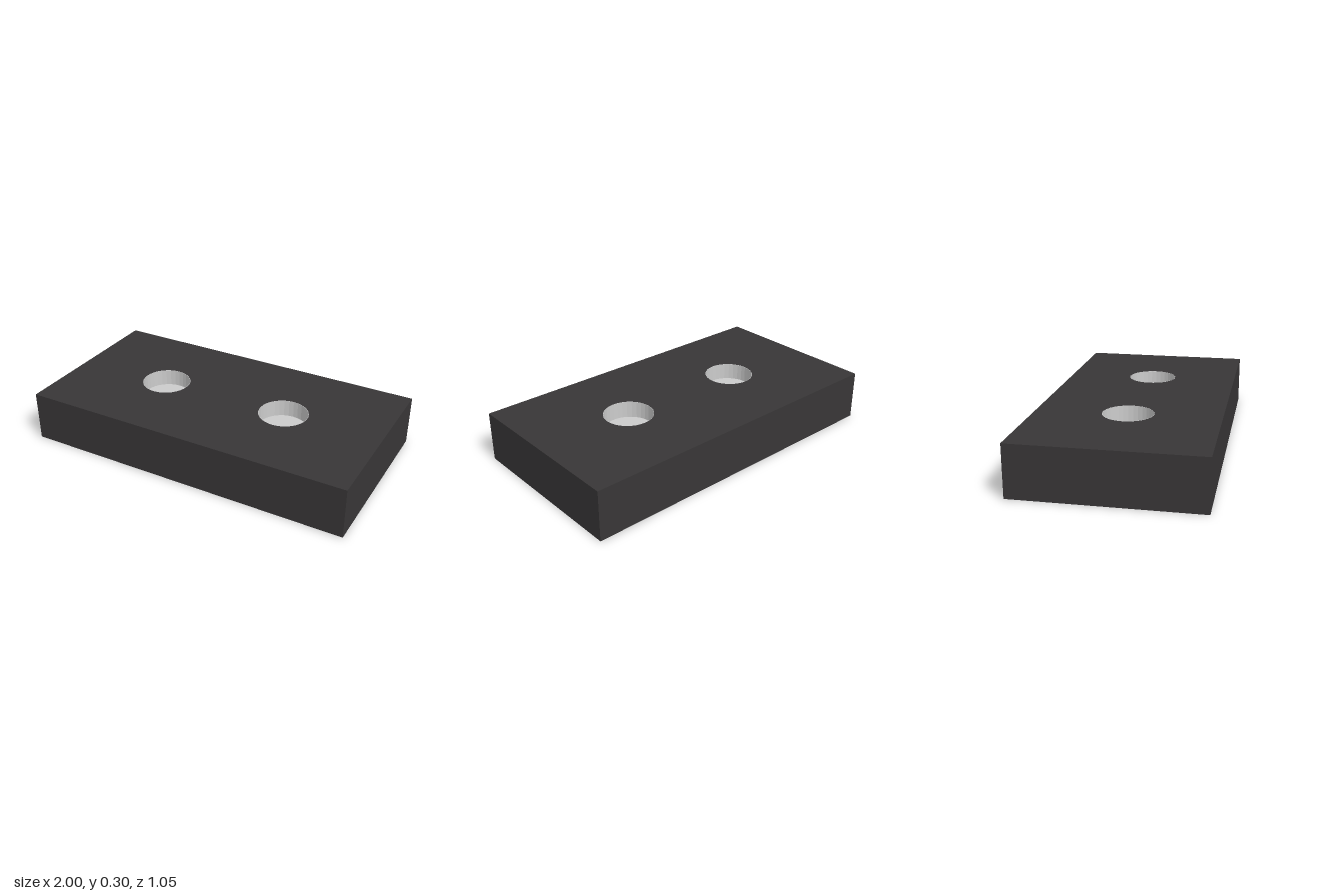
import * as THREE from 'three';

const LENGTH = 2, DEPTH = 1.053, HEIGHT = 0.3;
const RADIUS = 0.147, LINING = 0.002, POCKET = 0.1, SIDES = 32;
const HOLE_X = [-0.4, 0.4];

export function createModel() {
  const model = new THREE.Group();
  const dark = new THREE.MeshStandardMaterial({ color: 0x383637, flatShading: true });
  const grey = new THREE.MeshStandardMaterial({ color: 0xcccccc, flatShading: true });

  // Rectangular plate with two round holes
  const outline = new THREE.Shape([
    new THREE.Vector2(-LENGTH / 2, -DEPTH / 2),
    new THREE.Vector2(LENGTH / 2, -DEPTH / 2),
    new THREE.Vector2(LENGTH / 2, DEPTH / 2),
    new THREE.Vector2(-LENGTH / 2, DEPTH / 2),
  ]);
  for (const x of HOLE_X) {
    outline.holes.push(new THREE.Path().absarc(x, 0, RADIUS, 0, Math.PI * 2, true));
  }
  const plateGeometry = new THREE.ExtrudeGeometry(outline, {
    depth: HEIGHT, bevelEnabled: false, curveSegments: SIDES / 2,
  });
  plateGeometry.rotateX(-Math.PI / 2);
  const plate = new THREE.Mesh(plateGeometry, dark);
  plate.name = 'plate';
  model.add(plate);

  // Thin grey insert in each hole: lined wall with a web halfway up,
  // leaving an equal round pocket above and below
  const inner = RADIUS - LINING;
  const profile = [
    [0, POCKET], [inner, POCKET], [inner, 0], [RADIUS, 0],
    [RADIUS, HEIGHT], [inner, HEIGHT], [inner, HEIGHT - POCKET], [0, HEIGHT - POCKET],
  ].map(([r, y]) => new THREE.Vector2(r, y));
  const insertGeometry = new THREE.LatheGeometry(profile, SIDES);
  HOLE_X.forEach((x, i) => {
    const insert = new THREE.Mesh(insertGeometry, grey);
    insert.name = i === 0 ? 'rightInsert' : 'leftInsert';
    insert.position.x = x;
    model.add(insert);
  });

  return model;
}
